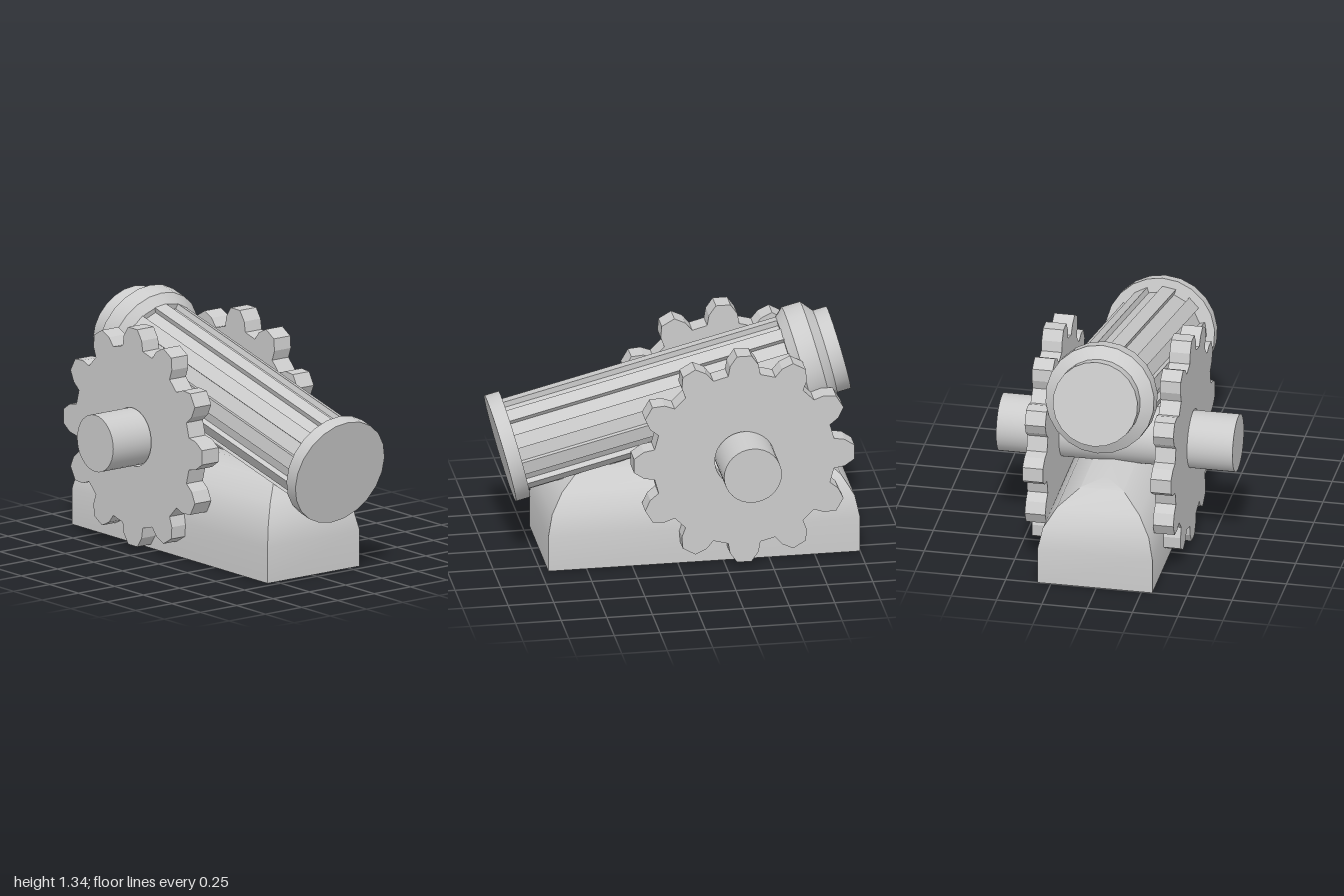
import * as THREE from 'three';
import { toCreasedNormals } from 'three/addons/utils/BufferGeometryUtils.js';

const material = new THREE.MeshStandardMaterial({ color: 0xcccccc });

function part(name, geometry, parent) {
  const mesh = new THREE.Mesh(geometry, material);
  mesh.name = name;
  parent.add(mesh);
  return mesh;
}

// Turned solid from [radius, height] pairs, bottom to top
function turned(profile, sides = 22) {
  const points = profile.map(([r, y]) => new THREE.Vector2(r, y));
  return toCreasedNormals(new THREE.LatheGeometry(points, sides), 0.5);
}

// Toothed wheel outline with a bore, extruded along x
function gearGeometry(thickness) {
  const teeth = 12;
  const tooth = [[0.492, -0.088], [0.55, -0.078], [0.605, -0.04], [0.605, 0.04], [0.55, 0.078], [0.492, 0.088]];
  const points = [];
  for (let i = 0; i < teeth; i++) {
    const a = (i / teeth) * Math.PI * 2;
    for (const [r, w] of tooth) {
      points.push(new THREE.Vector2(r * Math.cos(a) - w * Math.sin(a), r * Math.sin(a) + w * Math.cos(a)));
    }
  }
  const shape = new THREE.Shape(points);
  shape.holes.push(new THREE.Path().absarc(0, 0, 0.162, 0, Math.PI * 2, true));
  return new THREE.ExtrudeGeometry(shape, { depth: thickness, bevelEnabled: false, curveSegments: 16 })
    .translate(0, 0, -thickness / 2).rotateY(Math.PI / 2);
}

// Fluted barrel section: raised flat ribs with grooves between
function ribbedGeometry(length) {
  const ribs = 10, half = 0.15, points = [];
  const add = (r, a) => points.push(new THREE.Vector2(r * Math.cos(a), r * Math.sin(a)));
  for (let i = 0; i < ribs; i++) {
    const a = -THREE.MathUtils.degToRad(98.6) + (i / ribs) * Math.PI * 2;
    add(0.226, a - half);
    add(0.257, a - half);
    add(0.257, a + half);
    add(0.226, a + half);
  }
  return new THREE.ExtrudeGeometry(new THREE.Shape(points), { depth: length, bevelEnabled: false }).rotateX(-Math.PI / 2);
}

// Block whose four sides curve inward to a ridge: stacked rectangles [inset, y]
function baseGeometry(halfX, halfZ) {
  const levels = [[0, 0], [0, 0.2], [0.025, 0.32], [0.09, 0.42], [0.2, 0.5], [halfX - 0.002, 0.52]];
  const rings = levels.map(([d, y]) => {
    const x = halfX - d, z = halfZ - d;
    return [[-x, y, z], [x, y, z], [x, y, -z], [-x, y, -z]];
  });
  const positions = [];
  const quad = (a, b, c, d) => positions.push(...a, ...b, ...c, ...a, ...c, ...d);
  for (let i = 0; i < rings.length - 1; i++) {
    for (let k = 0; k < 4; k++) {
      const n = (k + 1) % 4;
      quad(rings[i][k], rings[i][n], rings[i + 1][n], rings[i + 1][k]);
    }
  }
  const top = rings[rings.length - 1];
  quad(top[0], top[1], top[2], top[3]);
  quad(rings[0][3], rings[0][2], rings[0][1], rings[0][0]);
  const geometry = new THREE.BufferGeometry();
  geometry.setAttribute('position', new THREE.Float32BufferAttribute(positions, 3));
  geometry.computeVertexNormals();
  return toCreasedNormals(geometry, 0.6);
}

export function createModel() {
  const model = new THREE.Group();
  model.name = 'cannon';

  // Base
  part('base', baseGeometry(0.3175, 0.855), model).position.set(0.008, 0, -0.145);

  // Axle through both wheels
  const axle = toCreasedNormals(new THREE.CylinderGeometry(0.158, 0.158, 1.305, 32).rotateZ(Math.PI / 2), 0.5);
  part('axle', axle, model).position.set(-0.002, 0.626, -0.359);

  // Toothed wheels
  for (const [name, x] of [['leftWheel', 0.36], ['rightWheel', -0.347]]) {
    part(name, gearGeometry(0.113), model).position.set(x, 0.626, -0.35);
  }

  // Barrel, built upward along y then tipped back
  const barrel = new THREE.Group();
  barrel.name = 'barrel';
  barrel.position.set(0.02, 0.61, 0.925);
  barrel.rotation.x = -THREE.MathUtils.degToRad(75.9);
  model.add(barrel);

  part('frontCap', turned([[0, 0], [0.302, 0], [0.302, 0.08], [0, 0.08]]), barrel);
  part('ribbedBarrel', ribbedGeometry(1.59), barrel).position.y = 0.06;
  part('rearCollar', turned([
    [0, 1.63], [0.255, 1.63], [0.3, 1.68], [0.3, 1.783], [0.234, 1.835], [0.234, 1.913], [0, 1.913],
  ]), barrel);

  return model;
}
